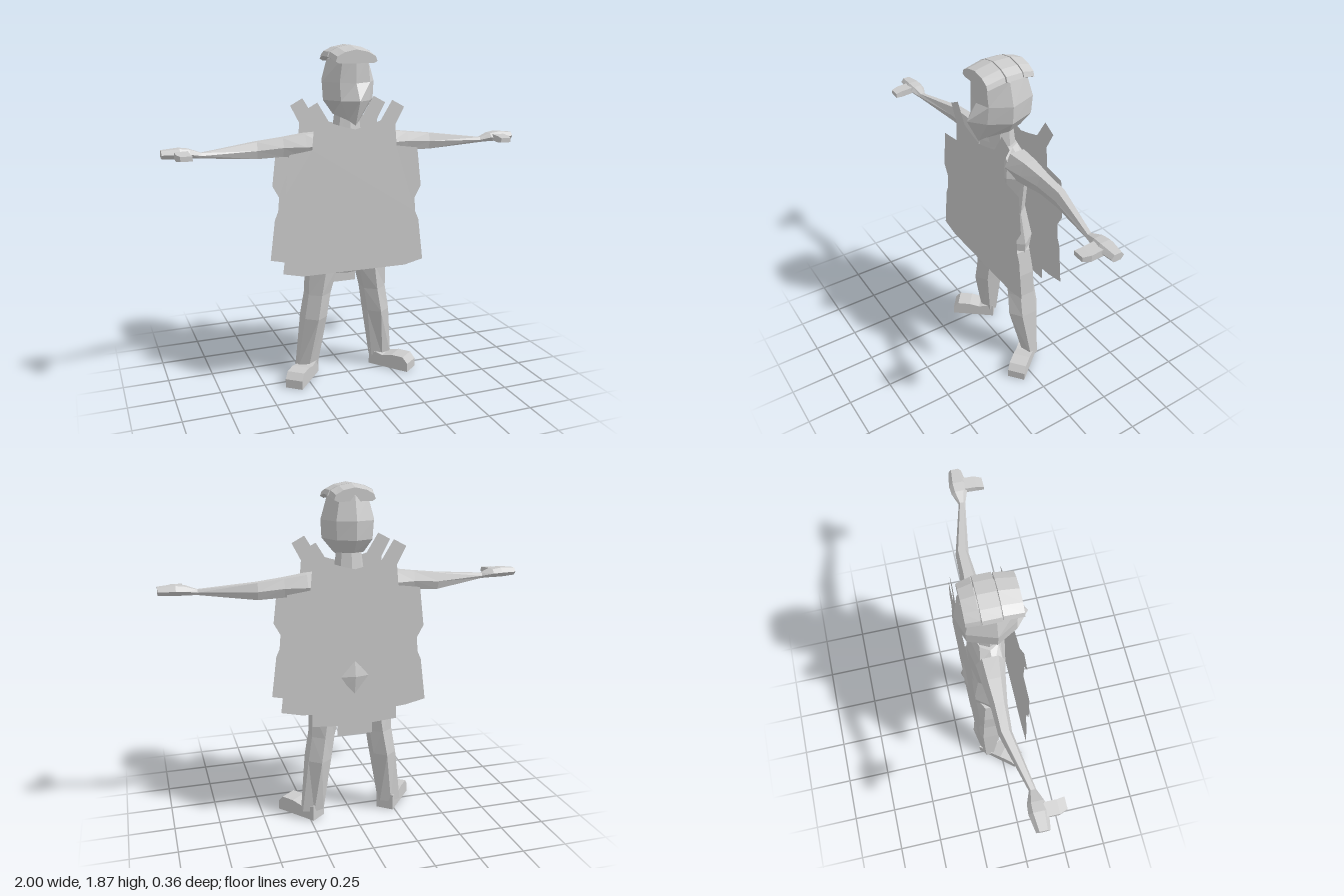
import * as THREE from 'three';

const skin = new THREE.MeshStandardMaterial({ color: 0xcccccc, flatShading: true });
const sheet = new THREE.MeshStandardMaterial({ color: 0xcccccc, side: THREE.DoubleSide });

// Joins rings of [x, y, z] points into a closed skin, facing outward
function loft(rings) {
  const n = rings[0].length, tris = [];
  for (let i = 0; i < rings.length - 1; i++)
    for (let j = 0; j < n; j++) {
      const k = (j + 1) % n, a = rings[i], b = rings[i + 1];
      tris.push([a[j], a[k], b[k]], [a[j], b[k], b[j]]);
    }
  const cap = (ring, flip) => {
    const c = [0, 1, 2].map(d => ring.reduce((s, p) => s + p[d], 0) / n);
    ring.forEach((p, j) => {
      const q = ring[(j + 1) % n];
      tris.push(flip ? [c, q, p] : [c, p, q]);
    });
  };
  cap(rings[0], true);
  cap(rings[rings.length - 1], false);
  // A negative volume means the corners run the wrong way round
  let volume = 0;
  const [A, B, C] = [0, 1, 2].map(() => new THREE.Vector3());
  for (const t of tris) volume += A.fromArray(t[0]).dot(B.fromArray(t[1]).cross(C.fromArray(t[2])));
  if (volume < 0) tris.forEach(t => t.reverse());
  const g = new THREE.BufferGeometry();
  g.setAttribute('position', new THREE.Float32BufferAttribute(tris.flat(2), 3));
  g.computeVertexNormals();
  return g;
}

// Cross-section lying flat at height y
function levelRing(y, cx, rx, front, back, n = 8) {
  return Array.from({ length: n }, (_, i) => {
    const a = (i / n) * Math.PI * 2;
    return [cx + rx * Math.sin(a), y, (front + back) / 2 + ((front - back) / 2) * Math.cos(a)];
  });
}

// Cross-section standing upright at x, with bevelled corners
function armRing(x, y0, y1, z0, z1) {
  const ym = (y0 + y1) / 2, zi = (z1 - z0) * 0.22;
  return [[x, y0, z0 + zi], [x, y0, z1 - zi], [x, ym, z1], [x, y1, z1 - zi], [x, y1, z0 + zi], [x, ym, z0]];
}

// Completes a ring from its +x half (first and last points on the centre line)
const mirrorRing = half => [...half, ...half.slice(1, -1).reverse().map(([x, y, z]) => [-x, y, z])];

function add(parent, name, geometry, material = skin) {
  const m = new THREE.Mesh(geometry, material);
  m.name = name;
  parent.add(m);
  return m;
}

// Tabard sheet from its +x outline, top centre to bottom centre
function tabard(bottom) {
  const half = [
    [0, 1.435], [0.06, 1.45], [0.144, 1.476], [0.21, 1.583], [0.28, 1.545], [0.23, 1.45], [0.24, 1.337],
    [0.364, 1.32], [0.39, 1.107], [0.353, 1.04], [0.36, 0.96], [0.38, 0.914], [0.41, 0.68], [0.3, 0.655],
    ...bottom];
  const left = half.map(([x, y]) => new THREE.Vector2(x, y));
  const right = half.slice(1).reverse().map(([x, y]) => new THREE.Vector2(-x, y));
  return new THREE.ShapeGeometry(new THREE.Shape([...left, ...right]));
}

export function createModel() {
  const model = new THREE.Group();
  model.name = 'figure';

  // Torso and neck
  add(model, 'torso', loft([
    levelRing(0.61, 0, 0.1, 0.0, -0.1), levelRing(0.7, 0, 0.2, 0.05, -0.138),
    levelRing(0.85, 0, 0.21, 0.07, -0.165), levelRing(1.04, 0, 0.17, 0.045, -0.125),
    levelRing(1.28, 0, 0.21, 0.07, -0.13), levelRing(1.37, 0, 0.19, 0.05, -0.11),
    levelRing(1.42, 0, 0.1, 0.04, -0.095)]));
  add(model, 'neck', loft([levelRing(1.4, 0, 0.085, 0.045, -0.095), levelRing(1.55, 0, 0.065, 0.025, -0.075)]));

  // Faceted head with pointed nose and chin
  add(model, 'head', loft([
    [[0, 1.455, 0.115], [0.03, 1.48, 0.09], [0.08, 1.507, -0.02], [0.06, 1.517, -0.1], [0, 1.517, -0.125]],
    [[0, 1.587, 0.18], [0.08, 1.585, 0.11], [0.142, 1.585, 0], [0.095, 1.587, -0.14], [0, 1.587, -0.175]],
    [[0, 1.675, 0.125], [0.085, 1.68, 0.105], [0.147, 1.68, 0], [0.1, 1.685, -0.145], [0, 1.686, -0.18]],
    [[0, 1.81, 0.125], [0.07, 1.805, 0.11], [0.112, 1.8, 0], [0.075, 1.805, -0.12], [0, 1.81, -0.145]],
    [[0, 1.845, 0.08], [0.05, 1.84, 0.07], [0.085, 1.83, 0], [0.05, 1.84, -0.08], [0, 1.845, -0.1]],
  ].map(mirrorRing)));

  // Hair in three arched bands: [z, height shift] at each end
  const arch = [[0, 1.87], [0.07, 1.857], [0.115, 1.835], [0.125, 1.81], [0.105, 1.8], [0, 1.8]];
  const bands = [
    [[0.13, -0.022, 0.92], [0.03, 0, 0.97]],
    [[0.024, 0, 1], [-0.068, 0, 1]],
    [[-0.075, 0, 0.97], [-0.143, -0.018, 0.88]]];
  for (const band of bands)
    add(model, 'hairBand', loft(band.map(([z, dy, w]) => mirrorRing(arch.map(([x, y]) => [x * w, y + dy, z])))));

  // Front and back cloth, the back with a stepped tail
  add(model, 'frontCloth', tabard([[0, 0.655]]), sheet).position.z = 0.11;
  add(model, 'backCloth', tabard([[0.24, 0.65], [0.24, 0.58], [0.1, 0.57], [0.1, 0.51], [0, 0.51]]), sheet)
    .position.z = -0.147;

  // Foot profile from heel to toe
  const sole = new THREE.Shape([[0, 0], [0.255, 0], [0.255, 0.05], [0.225, 0.085], [0.15, 0.085], [0.09, 0.07],
    [0.0, 0.09]].map(p => new THREE.Vector2(...p)));

  for (const s of [1, -1]) {
    const side = s > 0 ? 'left' : 'right';
    const limb = rings => loft(rings.map(r => r.map(([x, y, z]) => [s * x, y, z])));

    add(model, side + 'Arm', limb([
      armRing(0.13, 1.27, 1.41, -0.11, 0.04), armRing(0.24, 1.275, 1.405, -0.1, 0.02),
      armRing(0.36, 1.29, 1.39, -0.085, 0.0), armRing(0.5, 1.285, 1.375, -0.08, -0.01),
      armRing(0.8, 1.315, 1.343, 0, 0.037)]));
    add(model, side + 'Hand', limb([
      armRing(0.8, 1.315, 1.343, 0, 0.037), armRing(0.86, 1.32, 1.365, -0.025, 0.06),
      armRing(0.91, 1.32, 1.372, -0.03, 0.068), armRing(1.0, 1.325, 1.365, -0.015, 0.055)]));
    add(model, side + 'Thumb', limb([
      [[0.87, 1.325, 0.05], [0.94, 1.325, 0.05], [0.94, 1.36, 0.05], [0.87, 1.36, 0.05]],
      [[0.87, 1.32, 0.115], [0.94, 1.32, 0.115], [0.94, 1.355, 0.115], [0.87, 1.355, 0.115]],
      [[0.865, 1.325, 0.155], [0.925, 1.325, 0.155], [0.925, 1.35, 0.155], [0.865, 1.35, 0.155]]]));

    add(model, side + 'Leg', limb([
      levelRing(0.8, 0.125, 0.09, 0.04, -0.12, 6), levelRing(0.65, 0.145, 0.095, 0.045, -0.138, 6),
      levelRing(0.5, 0.167, 0.075, 0.035, -0.142, 6), levelRing(0.36, 0.19, 0.075, 0.04, -0.155, 6),
      levelRing(0.05, 0.23, 0.07, -0.03, -0.12, 6)]));

    // Feet turn outward
    const foot = new THREE.ExtrudeGeometry(sole, { depth: 0.1, bevelEnabled: false });
    foot.translate(0, 0, -0.05);
    foot.rotateY(-Math.PI / 2 + s * 0.68);
    foot.translate(s * 0.198, 0, -0.1);
    add(model, side + 'Foot', foot);
  }
  return model;
}
